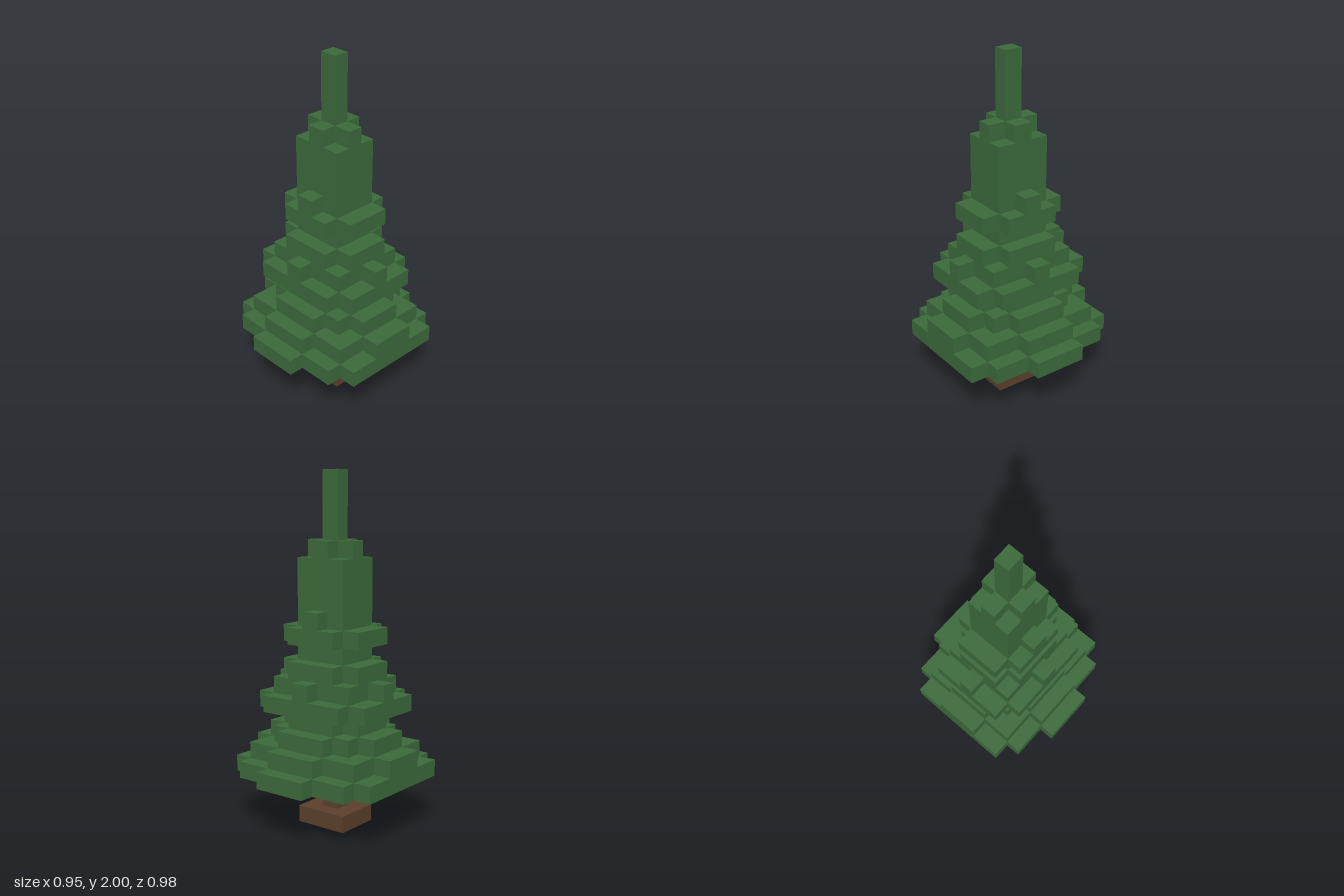
import * as THREE from 'three';

// block pitch along each axis
const DX = 0.1056, DY = 2 / 21, DZ = 0.089;

const makeMaterial = (name, color) => {
  const m = new THREE.MeshStandardMaterial({ color });
  m.name = name;
  return m;
};

// stepped outline, symmetric in x and z, from the outer corners of one quadrant
function steppedShape(corners) {
  const quad = [];
  corners.forEach(([x, z], i) => {
    if (i > 0) quad.push([x, corners[i - 1][1]]);
    quad.push([x, z]);
  });
  const back = [...quad].reverse();
  const points = [
    ...quad,
    ...back.map(([x, z]) => [-x, z]),
    ...quad.map(([x, z]) => [-x, -z]),
    ...back.map(([x, z]) => [x, -z]),
  ];
  return new THREE.Shape(points.map(([x, z]) => new THREE.Vector2(x * DX, z * DZ)));
}

function slab(name, corners, from, to, material) {
  const geo = new THREE.ExtrudeGeometry(steppedShape(corners), { depth: (to - from) * DY, bevelEnabled: false });
  geo.rotateX(-Math.PI / 2);
  const mesh = new THREE.Mesh(geo, material);
  mesh.name = name;
  mesh.position.y = from * DY;
  return mesh;
}

export function createModel() {
  const model = new THREE.Group();
  model.name = 'blockTree';
  const green = makeMaterial('leafGreen', 0x3b693a);
  const brown = makeMaterial('barkBrown', 0x5a3f2a);
  const grey = makeMaterial('lightGrey', 0xd0d0d0);

  // base plate and trunk
  model.add(slab('base', [[1.5, 1.5]], 0, 1, brown));
  model.add(slab('trunk', [[0.5, 0.5]], 1, 3, brown));

  // pale rod set into one corner of the trunk
  const rod = new THREE.Mesh(new THREE.CylinderGeometry(0.034, 0.037, 3 * DY, 16), grey);
  rod.name = 'rod';
  rod.position.set(0.038, 1.5 * DY + 0.001, 0.017);
  model.add(rod);

  // foliage layers: quadrant corners in blocks, first and last level
  const foliage = new THREE.Group();
  foliage.name = 'foliage';
  const layers = [
    [[[4.5, 3.5], [3.5, 4.5], [1.5, 5.5]], 3, 4],
    [[[4.5, 1.5], [3.5, 3.5], [1.5, 4.5]], 4, 5],
    [[[3.5, 1.5], [2.5, 2.5], [1.5, 3.5]], 5, 6],
    [[[2.5, 1.5], [1.5, 2.5]], 6, 7],
    [[[3.5, 2.5], [2.5, 3.5]], 7, 8],
    [[[3.5, 0.5], [2.5, 2.5], [0.5, 3.5]], 8, 9],
    [[[2.5, 1.5], [1.5, 2.5]], 9, 10],
    [[[1.5, 1.5]], 10, 11],
    [[[2.5, 1.5], [1.5, 2.5]], 11, 12],
    [[[1.5, 1.5], [0.5, 2.5]], 12, 13],
    [[[1.5, 1.5]], 13, 16],
    [[[1.5, 0.5], [0.5, 1.5]], 16, 17],
  ];
  layers.forEach(([corners, from, to], i) =>
    foliage.add(slab(`foliageLayer${i + 1}`, corners, from, to, green)));
  foliage.add(slab('treeTip', [[0.5, 0.5]], 17, 21, green));
  model.add(foliage);

  return model;
}
